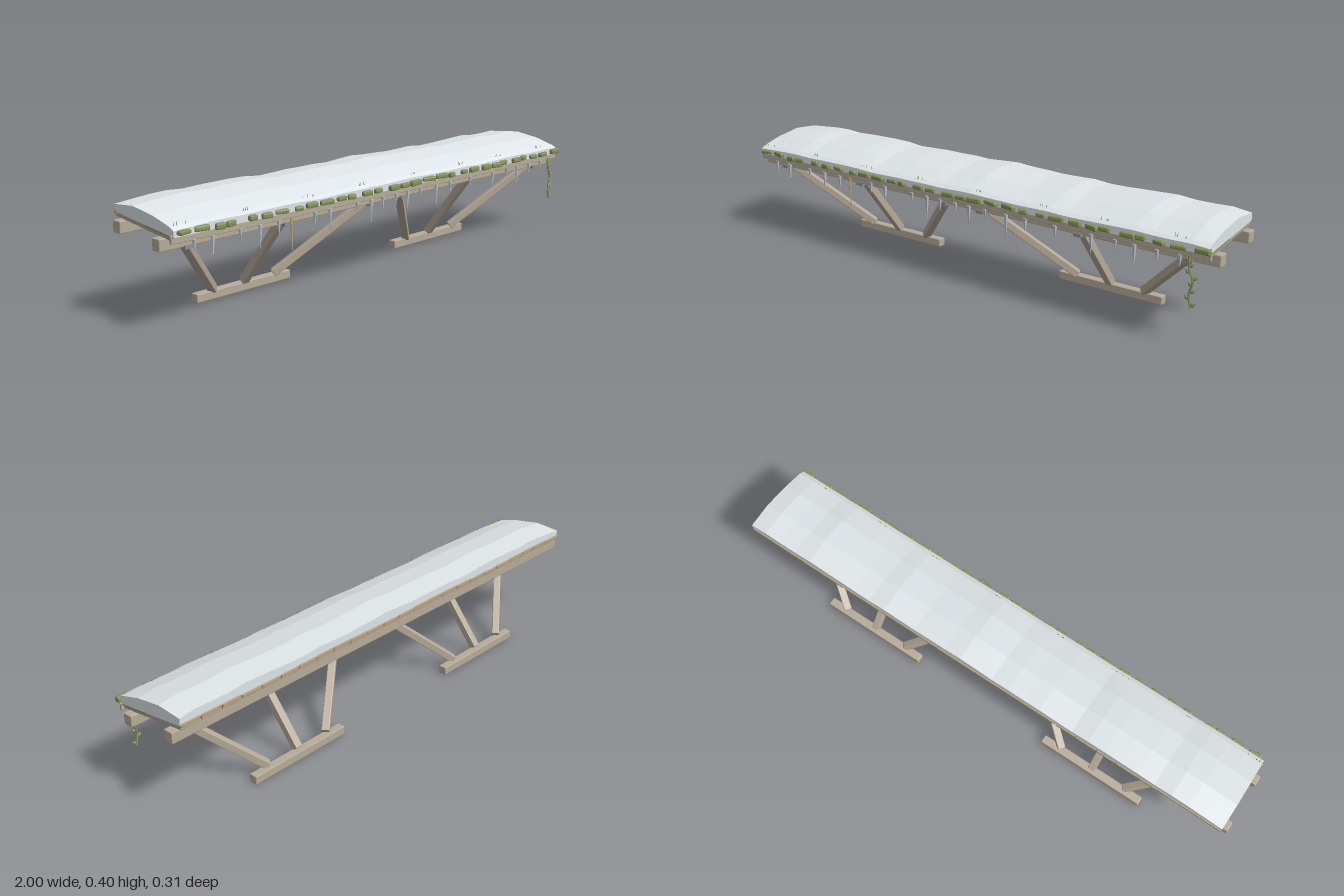
import * as THREE from 'three';
import { RoundedBoxGeometry } from 'three/addons/geometries/RoundedBoxGeometry.js';

const mat = (name, color) => {
  const m = new THREE.MeshStandardMaterial({ color, flatShading: true });
  m.name = name;
  return m;
};

export function createModel() {
  const root = new THREE.Group();
  root.name = 'snowyCanopy';
  const wood = mat('weathered wood', 0xb7ab9a);
  const plankWood = mat('plank wood', 0xaca295);
  const snowMat = mat('snow', 0xdfe5e8);
  const moss = mat('moss', 0x85935a);
  const straw = mat('straw', 0xbba67c);
  const ice = mat('ice', 0xb9c4ca);
  const iron = mat('iron', 0x8f9296);

  let seed = 17;
  const rnd = (a, b) => {
    seed = (seed * 16807) % 2147483647;
    return a + (b - a) * seed / 2147483647;
  };
  const V = (x, y, z) => new THREE.Vector3(x, y, z);
  const add = (name, geo, material, parent = root) => {
    const m = new THREE.Mesh(geo, material);
    m.name = name;
    parent.add(m);
    return m;
  };
  const group = (name) => {
    const g = new THREE.Group();
    g.name = name;
    root.add(g);
    return g;
  };
  const block = (name, w, h, d, x, y, z, material, parent, bevel = 0.003) => {
    const m = add(name, bevel ? new RoundedBoxGeometry(w, h, d, 1, bevel) : new THREE.BoxGeometry(w, h, d), material, parent);
    m.position.set(x, y, z);
    return m;
  };
  // Square timber running between two points
  const timber = (name, a, b, t, parent) => {
    const m = add(name, new RoundedBoxGeometry(t, t, a.distanceTo(b), 1, 0.003), wood, parent);
    m.position.copy(a).lerp(b, 0.5);
    m.lookAt(b);
    return m;
  };

  // Long beams under the roof
  block('frontBeam', 2, 0.04, 0.037, 0, 0.294, 0.075, wood);
  block('backBeam', 2, 0.04, 0.038, 0, 0.317, -0.12, wood);

  // Two wall supports: a foot beam with three fanned struts
  for (const cx of [-0.49, 0.485]) {
    const g = group('support');
    block('footBeam', 0.418, 0.031, 0.031, cx, 0.0185, -0.137, wood, g);
    for (const s of [-1, 0, 1]) {
      timber('strut', V(cx + s * 0.405, 0.287, 0.07), V(cx + s * 0.135, 0.036, -0.131), 0.028, g);
      block('strutBracket', 0.03, 0.012, 0.044, cx + s * 0.405, 0.273, 0.076, iron, g, 0);
    }
  }

  // Sloping deck of planks
  const slope = Math.atan2(0.034, 0.275);
  const planks = group('planks');
  const count = 24, pitch = 1.96 / count;
  for (let i = 0; i < count; i++) {
    const p = block('plank', pitch - rnd(0.006, 0.01), 0.015, 0.275 + rnd(-0.003, 0.003),
      -0.98 + pitch * (i + 0.5), 0.3325 + rnd(-0.001, 0.001), -0.016, plankWood, planks, 0.002);
    p.rotation.x = slope;
  }
  block('eaveBoard', 1.97, 0.026, 0.009, 0, 0.314, 0.127, wood, root, 0.002);

  // Snow blanket: arched cross-section swept along x with gentle waves
  const profile = [[0.137, 0.322], [0.137, 0.347], [0.12, 0.357], [0.04, 0.383], [-0.06, 0.398], [-0.155, 0.39], [-0.155, 0.358]];
  const n = 30, k = profile.length, pos = [], idx = [];
  for (let i = 0; i <= n; i++) {
    const x = -0.98 + 1.96 * i / n;
    const end = i === 0 || i === n ? -0.006 : 0;
    const wave = 0.0025 * Math.sin(x * 9 + 1) + 0.0025 * Math.sin(x * 21) + 0.0015 * Math.sin(x * 37) + end;
    profile.forEach(([z, y], j) => pos.push(x, y + (j > 0 && j < k - 1 ? wave * (j < 3 ? 0.5 : 1) : 0), z));
  }
  for (let i = 0; i < n; i++) for (let j = 0; j < k; j++) {
    const a = i * k + j, b = i * k + (j + 1) % k;
    idx.push(a, a + k, b, b, a + k, b + k);
  }
  for (let j = 1; j < k - 1; j++) {
    idx.push(0, j, j + 1, n * k, n * k + j + 1, n * k + j);
  }
  const snowGeo = new THREE.BufferGeometry();
  snowGeo.setAttribute('position', new THREE.Float32BufferAttribute(pos, 3));
  snowGeo.setIndex(idx);
  const flat = snowGeo.toNonIndexed();
  flat.computeVertexNormals();
  add('snowBlanket', flat, snowMat);

  // Moss clumps along the front eave, with clustered sprouts above
  const mossGroup = group('eaveMoss');
  for (let i = 0; i < 30; i++) {
    const x = -0.95 + 1.9 * i / 29 + rnd(-0.012, 0.012);
    const m = block('mossClump', rnd(0.03, 0.06), rnd(0.015, 0.021), rnd(0.016, 0.024),
      x, 0.332 + rnd(-0.003, 0.003), 0.14, moss, mossGroup, 0.005);
    m.rotation.y = rnd(-0.25, 0.25);
    for (let j = 0; j < (i % 4 === 0 ? 3 : 0); j++) {
      const s = add('sprout', new THREE.ConeGeometry(0.002, 0.015, 4), moss, mossGroup);
      s.position.set(x + rnd(-0.025, 0.025), 0.361, 0.122);
      s.rotation.z = rnd(-0.3, 0.3);
    }
  }
  for (const s of [-1, 1]) {
    const strip = block('endMoss', 0.006, 0.004, 0.135, s * 0.979, 0.33, 0.068, moss, mossGroup, 0);
    strip.rotation.x = slope;
  }

  // Straw poking out along the back edge
  const strawGroup = group('backStraw');
  for (let i = 0; i < 24; i++) {
    block('strawTuft', rnd(0.07, 0.082), 0.013, 0.014, -0.94 + 1.88 * i / 23,
      0.356 + 0.002 * Math.sin(i * 0.9), -0.151, straw, strawGroup, 0.002);
  }

  // Icicles below the eave
  const icicles = group('icicles');
  [-0.9, -0.83, -0.72, -0.64, -0.56, -0.4, -0.33, -0.2, -0.13, -0.07, 0, 0.06, 0.13, 0.22, 0.3, 0.42, 0.56, 0.65, 0.72, 0.8, 0.88]
    .forEach((x, i) => {
      const len = [0.045, 0.075, 0.035, 0.085, 0.05][i % 5];
      const c = add('icicle', new THREE.ConeGeometry(0.008, len, 5), ice, icicles);
      c.rotation.x = Math.PI;
      c.position.set(x, 0.303 - len / 2, 0.13);
    });

  // Straw cord hanging near the middle of one support
  const cord = add('hangingCord', new THREE.CylinderGeometry(0.005, 0.002, 0.11, 5), straw);
  cord.position.set(-0.505, 0.25, 0.131);

  // Trailing vine with leaves at the left end
  const vine = group('vine');
  const path = new THREE.CatmullRomCurve3([V(0.918, 0.31, 0.142), V(0.92, 0.27, 0.143), V(0.935, 0.23, 0.142), V(0.924, 0.185, 0.143), V(0.932, 0.142, 0.142)]);
  add('vineStem', new THREE.TubeGeometry(path, 14, 0.004, 5), moss, vine);
  for (let i = 0; i < 8; i++) {
    const p = path.getPoint((i + 0.5) / 8), s = i % 2 ? 1 : -1;
    const leaf = add('leaf', new THREE.OctahedronGeometry(0.009), moss, vine);
    leaf.scale.set(1.3, 0.8, 0.45);
    leaf.position.set(p.x + s * 0.008, p.y, p.z);
    leaf.rotation.z = s * 0.6;
  }
  return root;
}
